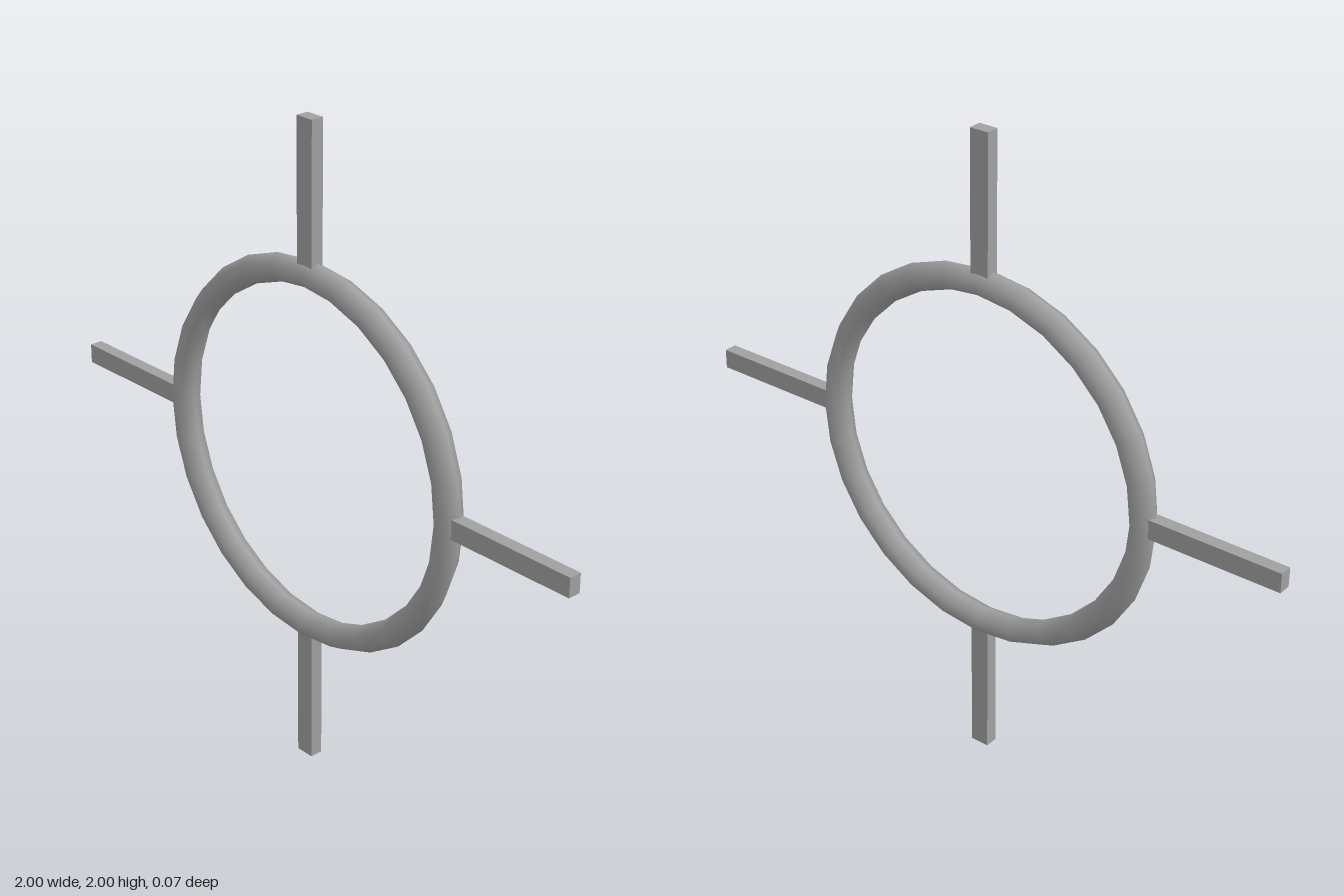
import * as THREE from 'three';

export function createModel() {
  const group = new THREE.Group();
  const grey = new THREE.MeshStandardMaterial({ color: 0xa0a0a0 });
  grey.name = 'grey';

  // Slim ring with a six-sided tube, standing upright
  const ring = new THREE.Mesh(new THREE.TorusGeometry(0.553, 0.042, 6, 28), grey);
  ring.name = 'ring';
  ring.position.y = 1;
  group.add(ring);

  // Four flat bars radiating outwards, their inner ends sunk into the ring
  const inner = 0.575, outer = 1;
  const barGeometry = new THREE.BoxGeometry(outer - inner, 0.06, 0.04);
  barGeometry.translate((outer + inner) / 2, 0, 0);
  ['leftBar', 'topBar', 'rightBar', 'bottomBar'].forEach((name, i) => {
    const bar = new THREE.Mesh(barGeometry, grey);
    bar.name = name;
    bar.position.y = 1;
    bar.rotation.z = i * Math.PI / 2;
    group.add(bar);
  });

  return group;
}
